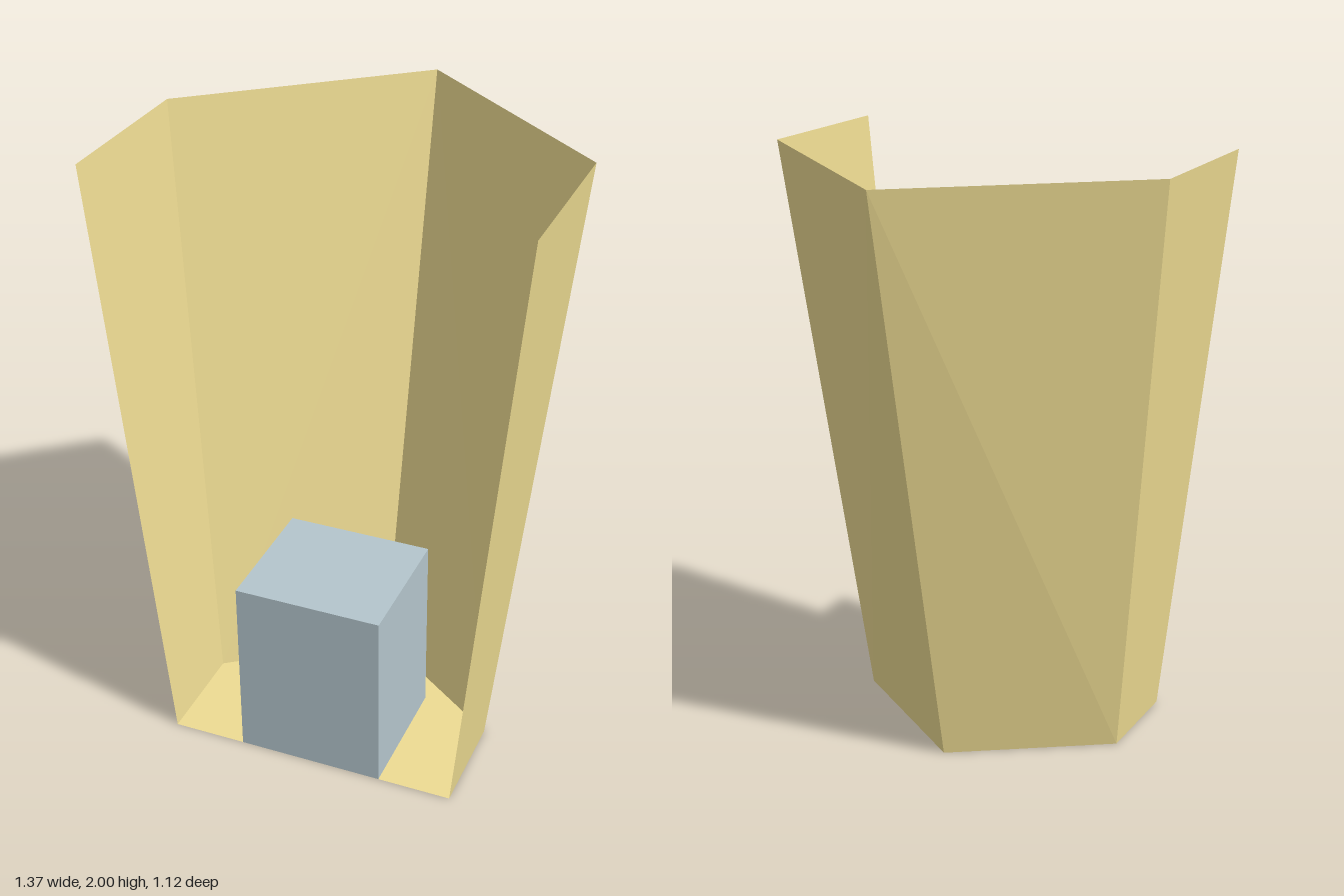
import * as THREE from 'three';

// Plan outlines [x, z], running from the right front edge round the back to the left front edge
const base = [[-0.487, 0.56], [-0.487, 0.21], [0, -0.13], [0.487, 0.21], [0.487, 0.56]];
const rim = [[-0.685, 0.56], [-0.685, 0], [0, -0.56], [0.685, 0], [0.685, 0.56]];
const HEIGHT = 2;
const block = { w: 0.486, h: 0.625, back: 0.12, front: 0.56 };

// One flat-shaded wall panel between base edge i and rim edge i
function panel(i, material, name) {
  const corners = [
    [base[i], 0], [base[i + 1], 0], [rim[i + 1], HEIGHT], [rim[i], HEIGHT],
  ].map(([[x, z], y]) => [x, y, z]);
  const geometry = new THREE.BufferGeometry();
  geometry.setAttribute('position', new THREE.Float32BufferAttribute(corners.flat(), 3));
  // Diagonals mirror from side to side; winding faces outward
  geometry.setIndex(i < 2 ? [0, 2, 1, 0, 3, 2] : [1, 0, 3, 1, 3, 2]);
  geometry.computeVertexNormals();
  const mesh = new THREE.Mesh(geometry, material);
  mesh.name = name;
  return mesh;
}

export function createModel() {
  const group = new THREE.Group();
  group.name = 'flaredShelter';
  const shell = new THREE.MeshStandardMaterial({
    color: 0xeddb92, side: THREE.DoubleSide, flatShading: true,
  });
  const stone = new THREE.MeshStandardMaterial({ color: 0xb4c5cc, flatShading: true });

  // Outward-leaning walls, open at the front and top
  ['rightWall', 'rightBackWall', 'leftBackWall', 'leftWall'].forEach((name, i) => {
    group.add(panel(i, shell, name));
  });

  // Floor, notched where the block stands
  const half = block.w / 2;
  const notch = [[half, block.front], [half, block.back], [-half, block.back], [-half, block.front]];
  const outline = [...base, ...notch].map(([x, z]) => new THREE.Vector2(x, -z));
  const floor = new THREE.Mesh(
    new THREE.ShapeGeometry(new THREE.Shape(outline)).rotateX(-Math.PI / 2), shell);
  floor.name = 'floor';
  group.add(floor);

  // Block standing flush with the open front
  const seat = new THREE.Mesh(
    new THREE.BoxGeometry(block.w, block.h, block.front - block.back), stone);
  seat.position.set(0, block.h / 2, (block.front + block.back) / 2);
  seat.name = 'block';
  group.add(seat);

  return group;
}
